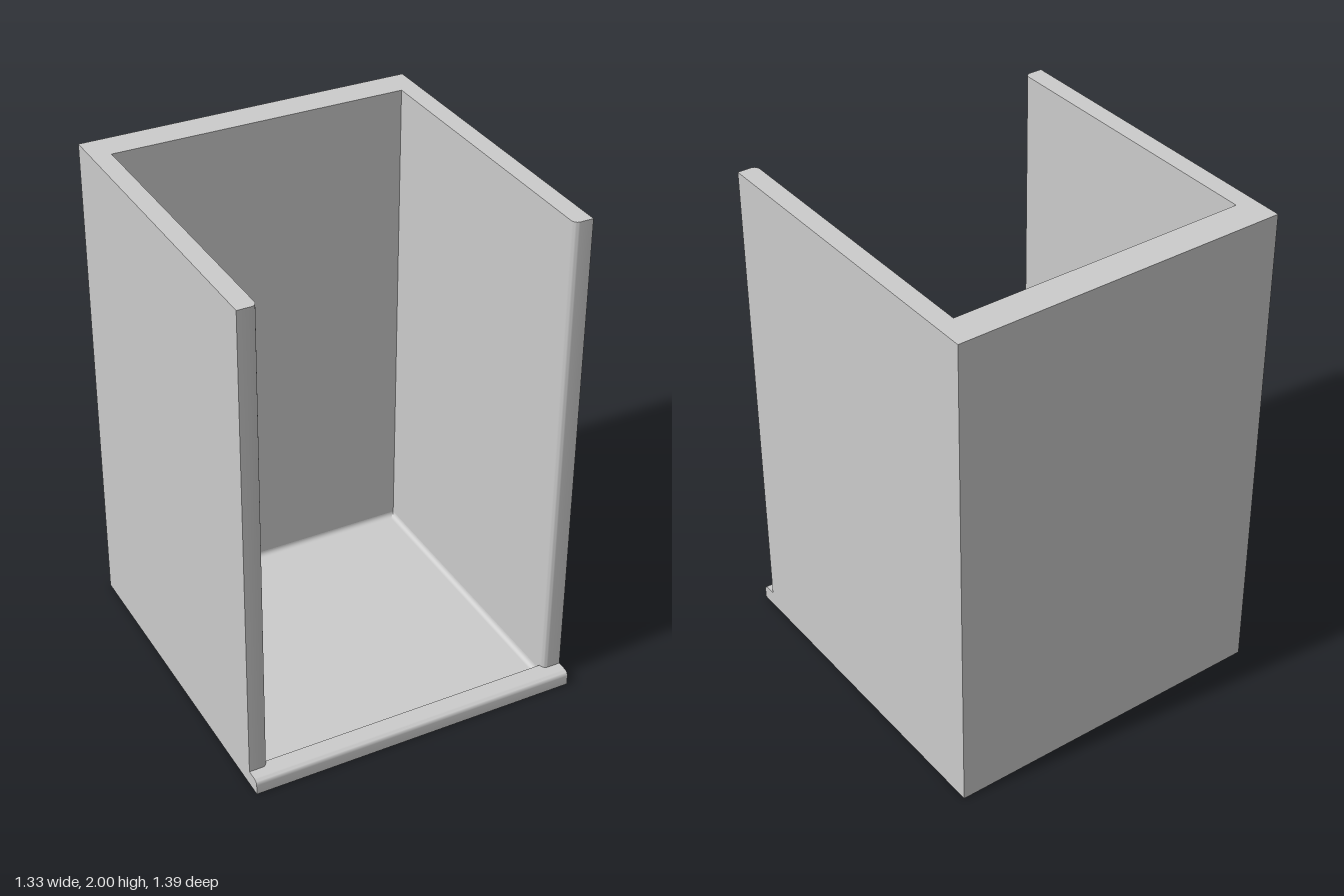
import * as THREE from 'three';
import { toCreasedNormals } from 'three/addons/utils/BufferGeometryUtils.js';

const X = 0.665, IX = 0.59;                  // outer and inner half widths
const BACK = -0.695, IBACK = -0.565;         // outer and inner back faces
const IFRONT = 0.61, FRONT = 0.635, NOSE = 0.695;
const TOP = 2, LIP = 0.06, FLOOR = 0.02, R = 0.02;

const material = new THREE.MeshStandardMaterial({ color: 0xcccccc, side: THREE.DoubleSide });

// Quarter ellipse from angle a0 to a1 as [u, v] points
function arc(cx, cy, rx, ry, a0, a1, n = 6) {
  return Array.from({ length: n + 1 }, (_, i) => {
    const a = a0 + (a1 - a0) * i / n;
    return [cx + rx * Math.cos(a), cy + ry * Math.sin(a)];
  });
}

// Upright band along a path of [x, z] points
function band(path, y0, y1) {
  const pos = [];
  for (let i = 0; i + 1 < path.length; i++) {
    const [ax, az] = path[i], [bx, bz] = path[i + 1];
    pos.push(ax, y0, az, bx, y0, bz, bx, y1, bz, ax, y0, az, bx, y1, bz, ax, y1, az);
  }
  const g = new THREE.BufferGeometry();
  g.setAttribute('position', new THREE.Float32BufferAttribute(pos, 3));
  return toCreasedNormals(g, 0.7);
}

// Flat face from [u, v] points
const face = pts => new THREE.ShapeGeometry(new THREE.Shape(pts.map(p => new THREE.Vector2(...p))));

// Level face at height y from [x, z] points
const level = (pts, y) => face(pts.map(([x, z]) => [x, -z])).rotateX(-Math.PI / 2).translate(0, y, 0);

export function createModel() {
  const model = new THREE.Group();
  const add = (name, geometry) => {
    const mesh = new THREE.Mesh(geometry, material);
    mesh.name = name;
    model.add(mesh);
  };

  // Inner outline with rounded front corners on the side walls
  const right = arc(-IX - 0.022, IFRONT, 0.022, FRONT - IFRONT, Math.PI / 2, 0);
  const left = right.map(([x, z]) => [-x, z]).reverse();
  const inner = [[-X, FRONT], ...right, [-IX, IBACK], [IX, IBACK], ...left, [X, FRONT]];

  // Walls, open underneath
  add('innerWalls', band(inner, LIP, TOP));
  add('wallTop', level([...inner, [X, BACK], [-X, BACK]], TOP));
  add('backWall', band([[X, BACK], [-X, BACK]], 0, TOP));

  // Side walls, including the ends of the front lip
  const nose = arc(NOSE - R, LIP - R, R, R, 0, Math.PI / 2);
  const side = [[BACK, 0], [NOSE, 0], ...nose, [FRONT, LIP], [FRONT, TOP], [BACK, TOP]];
  for (const s of [1, -1]) {
    const g = face(side.map(([z, y]) => [-s * z, y])).rotateY(s * Math.PI / 2);
    add(s > 0 ? 'leftWall' : 'rightWall', g.translate(s * X, 0, 0));
  }

  // Front lip with a rounded upper edge
  add('lipTop', level([[-X, NOSE - R], [-X, FRONT], ...right, ...left, [X, FRONT], [X, NOSE - R]], LIP));
  const lipPath = [...nose.map(([z, y]) => [-y, z]).reverse(), [0, NOSE]];
  add('lipFront', band(lipPath, -X, X).rotateZ(-Math.PI / 2));

  // Short skirt between the floor and the lip height
  const rim = [[-IX, IFRONT], [-IX, IBACK], [IX, IBACK], [IX, IFRONT], [-IX, IFRONT]];
  add('floorSkirt', band(rim, FLOOR + R, LIP));

  // Floor sheet curving up along its edges
  const n = 6, segs = 2 * n + 1;
  const floor = new THREE.PlaneGeometry(1, 1, segs, segs).rotateX(-Math.PI / 2);
  const inset = k => R * (1 - Math.cos(k / n * Math.PI / 2));
  const rise = k => R * (1 - Math.sin(k / n * Math.PI / 2));
  const place = (i, a, b) => i <= n ? a + inset(i) : b - inset(segs - i);
  const p = floor.attributes.position;
  for (let j = 0; j <= segs; j++) {
    for (let i = 0; i <= segs; i++) {
      const k = Math.min(i, j, segs - i, segs - j);
      p.setXYZ(j * (segs + 1) + i, place(i, -IX, IX), FLOOR + rise(k), place(j, IBACK, IFRONT));
    }
  }
  floor.computeVertexNormals();
  add('floor', floor);

  return model;
}
